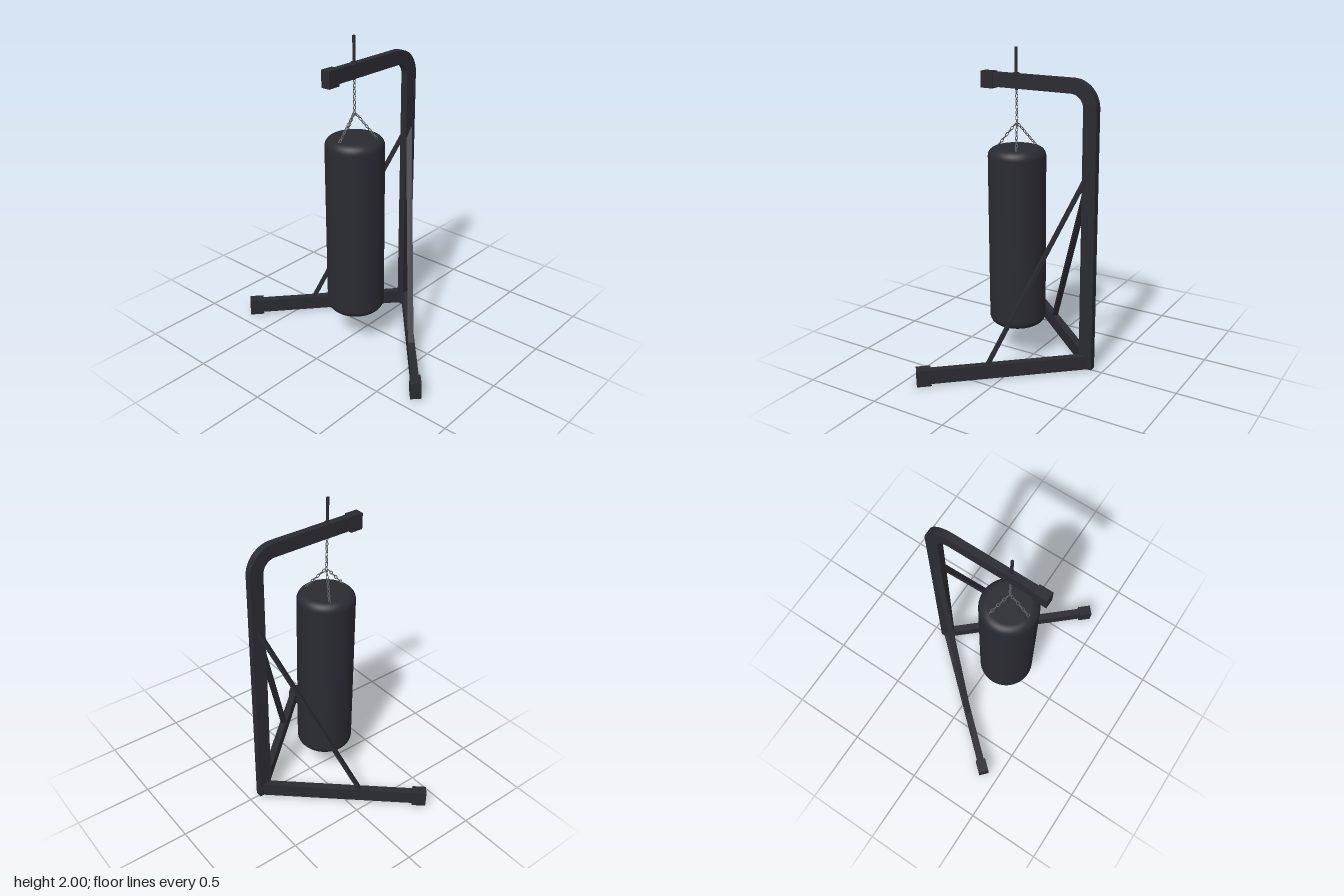
import * as THREE from 'three';
import { toCreasedNormals } from 'three/addons/utils/BufferGeometryUtils.js';

const frameMat = new THREE.MeshStandardMaterial({ color: 0x2a2a32 });
frameMat.name = 'charcoal';
const chainMat = new THREE.MeshStandardMaterial({ color: 0x5e6062 });
chainMat.name = 'steel grey';

const V = (x, y, z) => new THREE.Vector3(x, y, z);

function add(parent, name, geometry, material = frameMat) {
  const mesh = new THREE.Mesh(geometry, material);
  mesh.name = name;
  parent.add(mesh);
  return mesh;
}

// Box bar running from a to b, w wide and h high
function bar(parent, name, a, b, w, h) {
  const mesh = add(parent, name, new THREE.BoxGeometry(w, h, a.distanceTo(b)));
  mesh.position.copy(a).add(b).multiplyScalar(0.5);
  mesh.lookAt(b);
  return mesh;
}

// Row of oval links from a to b, each turned a quarter from the last
function chain(parent, name, a, b, count) {
  const group = new THREE.Group();
  group.name = name;
  const pitch = a.distanceTo(b) / count;
  const link = new THREE.TorusGeometry(0.008, 0.0027, 6, 12);
  link.scale(1, (pitch * 0.62) / 0.0107, 1);
  for (let i = 0; i < count; i++) {
    const mesh = add(group, 'chainLink', link, chainMat);
    mesh.position.y = (i + 0.5) * pitch;
    mesh.rotation.y = (i % 2) * Math.PI / 2;
  }
  group.position.copy(a);
  group.quaternion.setFromUnitVectors(V(0, 1, 0), b.clone().sub(a).normalize());
  parent.add(group);
}

export function createModel() {
  const model = new THREE.Group();
  model.name = 'punchingBagStand';

  // Post and overhead arm, one bent tube (shape x is -z)
  const s = new THREE.Shape();
  s.moveTo(0.435, 0.01);
  s.lineTo(0.435, 1.67);
  s.absarc(0.265, 1.67, 0.17, 0, Math.PI / 2, false);
  s.lineTo(-0.33, 1.84);
  s.lineTo(-0.33, 1.752);
  s.lineTo(0.265, 1.752);
  s.absarc(0.265, 1.67, 0.082, Math.PI / 2, 0, true);
  s.lineTo(0.347, 0.01);
  const post = new THREE.ExtrudeGeometry(s, { depth: 0.046, bevelEnabled: false, curveSegments: 14 });
  post.translate(0, 0, -0.023);
  post.rotateY(Math.PI / 2);
  add(model, 'postAndArm', toCreasedNormals(post, 0.5));
  bar(model, 'armCap', V(0, 1.793, 0.278), V(0, 1.793, 0.363), 0.06, 0.104);

  // Floor legs with end caps, and slanted braces
  for (const side of [1, -1]) {
    const heel = V(0, 0.055, -0.4);
    const toe = V(side * 0.72, 0.055, 0.406);
    const capStart = toe.clone().lerp(heel, 0.083);
    bar(model, 'leg', heel, capStart, 0.046, 0.09);
    bar(model, 'legCap', capStart, toe, 0.066, 0.108);
    bar(model, 'brace', V(side * 0.43, 0.08, 0.085), V(side * 0.008, 1.31, -0.395), 0.036, 0.02);
  }

  // Heavy bag with rounded rims
  const r = 0.182, c = 0.055, low = 0.22, high = 1.39;
  const profile = [new THREE.Vector2(0, low)];
  for (let i = 0; i <= 8; i++) {
    const t = (i / 8) * Math.PI / 2;
    profile.push(new THREE.Vector2(r - c + c * Math.sin(t), low + c - c * Math.cos(t)));
  }
  for (let i = 0; i <= 8; i++) {
    const t = (i / 8) * Math.PI / 2;
    profile.push(new THREE.Vector2(r - c + c * Math.cos(t), high - c + c * Math.sin(t)));
  }
  profile.push(new THREE.Vector2(0, high));
  add(model, 'bag', new THREE.LatheGeometry(profile, 48)).position.z = 0.12;

  // Hanger bolt through the arm
  const bolt = add(model, 'hangerBolt', new THREE.CylinderGeometry(0.009, 0.009, 0.26, 12));
  bolt.position.set(0, 1.87, 0.122);
  const washer = add(model, 'washer', new THREE.CylinderGeometry(0.02, 0.02, 0.008, 16));
  washer.position.set(0, 1.842, 0.122);

  // Main chain and three spreading chains
  chain(model, 'mainChain', V(0, 1.52, 0.12), V(0, 1.755, 0.12), 7);
  for (let i = 0; i < 3; i++) {
    const a = (i / 3) * Math.PI * 2;
    const dx = Math.sin(a), dz = Math.cos(a);
    chain(model, 'bagChain', V(dx * 0.138, 1.385, 0.12 + dz * 0.138),
      V(dx * 0.008, 1.535, 0.12 + dz * 0.008), 7);
  }
  return model;
}
